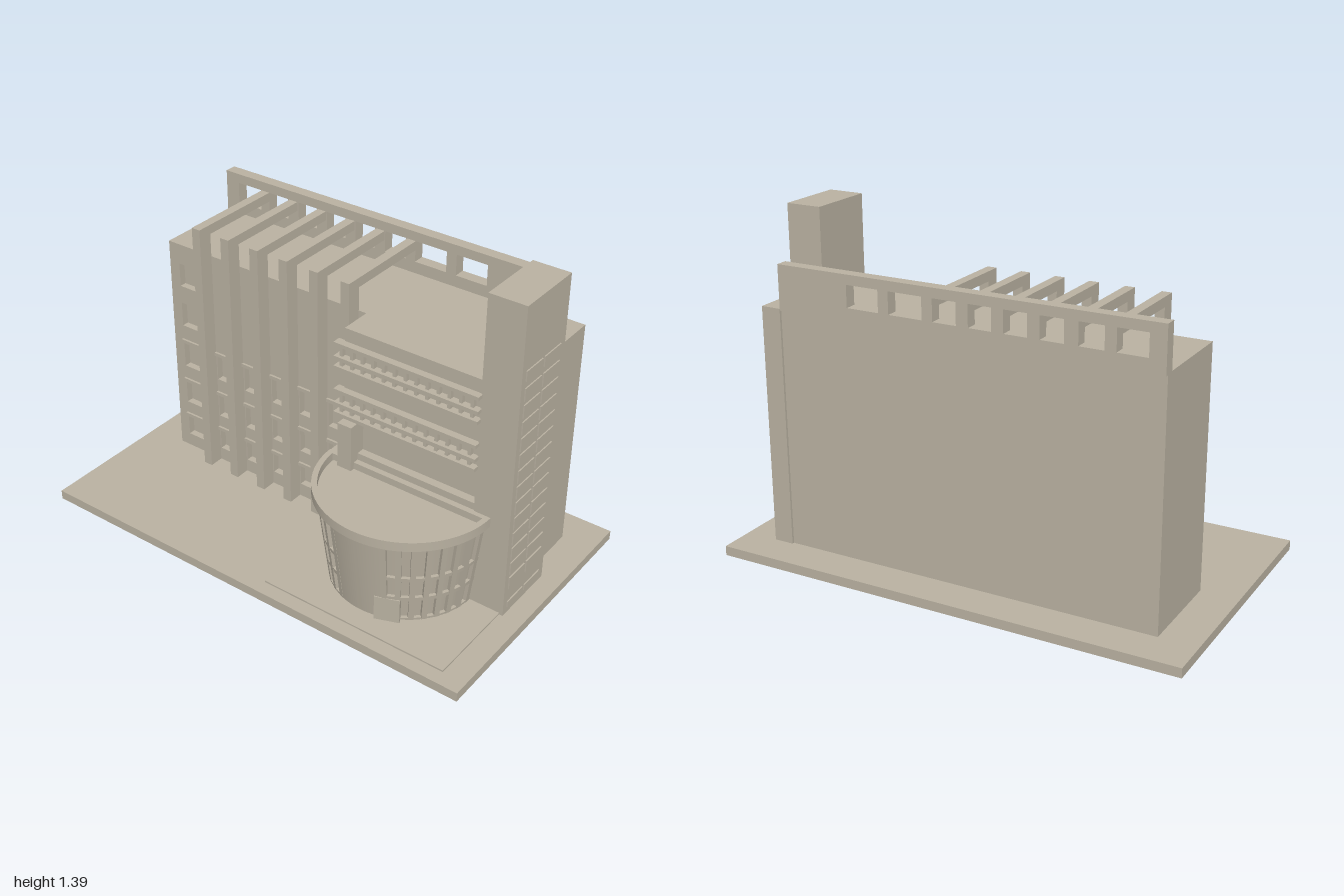
import * as THREE from 'three';
import { toCreasedNormals } from 'three/addons/utils/BufferGeometryUtils.js';

export function createModel() {
  const model = new THREE.Group();
  model.name = 'building';
  const concrete = new THREE.MeshStandardMaterial({ color: 0xb9b1a1, side: THREE.DoubleSide });
  concrete.name = 'concrete';

  const add = (name, geo, parent = model) => {
    const mesh = new THREE.Mesh(geo, concrete);
    mesh.name = name;
    parent.add(mesh);
    return mesh;
  };
  // Box given by its limits on each axis
  const box = (name, x0, x1, y0, y1, z0, z1, parent = model) => {
    const mesh = add(name, new THREE.BoxGeometry(x1 - x0, y1 - y0, z1 - z0), parent);
    mesh.position.set((x0 + x1) / 2, (y0 + y1) / 2, (z0 + z1) / 2);
    return mesh;
  };
  const rect = (path, x0, x1, y0, y1) =>
    path.moveTo(x0, y0).lineTo(x1, y0).lineTo(x1, y1).lineTo(x0, y1).closePath();
  // Upright slab pierced by rectangular openings [x0, x1, y0, y1]
  const piercedWall = (name, x0, x1, y0, y1, z0, z1, openings) => {
    const shape = rect(new THREE.Shape(), x0, x1, y0, y1);
    openings.forEach((o) => shape.holes.push(rect(new THREE.Path(), ...o)));
    const mesh = add(name, new THREE.ExtrudeGeometry(shape, { depth: z1 - z0, bevelEnabled: false }));
    mesh.position.z = z0;
  };

  // Ground
  box('base', -1, 1, 0, 0.04, -0.58, 0.58);
  box('forecourt', 0.07, 0.9, 0.04, 0.047, 0.12, 0.52);

  // Main volumes
  box('mainBlock', -0.84, 0.77, 0.04, 1.04, -0.42, -0.04);
  box('rearStairBlock', 0.775, 0.86, 0.04, 1.04, -0.43, 0.12);
  box('stairJoint', 0.76, 0.78, 0.04, 1.04, -0.42, 0.1);
  box('tower', 0.76, 0.915, 0.04, 1.39, -0.165, 0.13);

  // Left facade with recessed windows and lintels
  const finX = [-0.63, -0.482, -0.335, -0.19, -0.043, 0.105];
  const bands = [[0.1, 0.215], [0.27, 0.395], [0.455, 0.59]];
  const bays = [[-0.79, -0.665]];
  for (let i = 0; i < 5; i++) bays.push([finX[i] + 0.025, finX[i + 1] - 0.025]);
  const windows = [[-0.79, -0.665, 0.845, 0.95], [-0.79, -0.665, 0.655, 0.765]];
  for (const [y0, y1] of bands) for (const [x0, x1] of bays) windows.push([x0, x1, y0, y1 - 0.015]);
  piercedWall('leftFacade', -0.84, 0.16, 0.04, 1.04, -0.04, -0.01, windows);
  for (const [, y1] of bands) box('lintel', -0.795, 0.13, y1 - 0.015, y1, -0.03, 0);

  // Fins: front columns carrying roof beams back to the screen wall
  for (const x of finX) {
    box('finColumn', x - 0.02, x + 0.02, 0.04, 1.18, -0.01, 0.053);
    box('finBeam', x - 0.02, x + 0.02, 1.14, 1.18, -0.385, -0.01);
  }

  // Pierced screen wall along the back of the roof
  const gaps = [[-0.775, -0.655], [-0.61, -0.51], [-0.455, -0.36], [-0.31, -0.215],
    [-0.165, -0.07], [-0.02, 0.08], [0.125, 0.27], [0.315, 0.455]];
  piercedWall('roofScreen', -0.84, 0.77, 1.035, 1.22, -0.435, -0.385,
    gaps.map(([a, b]) => [a, b, 1.09, 1.18]));

  // Right wing with a recessed window band
  box('rightWing', 0.16, 0.77, 0.04, 1.04, -0.04, 0.09);
  piercedWall('rightFacade', 0.16, 0.77, 0.04, 1.04, 0.09, 0.125, [[0.225, 0.757, 0.5, 0.635]]);
  box('wingReturn', 0.13, 0.16, 0.04, 0.6, -0.01, 0.12);
  box('entrancePier', 0.16, 0.225, 0.4, 0.64, 0.12, 0.17);

  // Two balcony grilles: three rails and short posts
  for (const y of [0.66, 0.866]) {
    const grille = new THREE.Group();
    grille.name = 'balconyGrille';
    model.add(grille);
    for (const dy of [0, 0.043, 0.103]) box('rail', 0.13, 0.765, y + dy, y + dy + 0.015, 0.12, 0.156, grille);
    for (let i = 0; i < 13; i++) {
      const x = 0.15 + i * 0.048;
      box('post', x, x + 0.013, y + 0.01, y + 0.11, 0.12, 0.143, grille);
    }
  }

  // Tower side windows
  for (let i = 0; i < 15; i++) {
    const y1 = 1.125 - i * 0.0703;
    const y0 = i === 14 ? 0.068 : i === 0 ? 1.083 : y1 - 0.055;
    const top = i === 14 ? 0.095 : y1;
    for (const [z0, z1] of [[-0.005, 0.105], [-0.132, -0.018]]) box('towerWindow', 0.914, 0.92, y0, top, z0, z1);
  }

  // Half-round tapered hall; angle 0 faces the front
  const hall = new THREE.Group();
  hall.name = 'roundHall';
  hall.position.set(0.465, 0, 0.13);
  model.add(hall);
  const radius = (y) => 0.3 + (y - 0.04) * 0.128;
  const lathe = (name, pts, start = -Math.PI / 2, length = Math.PI) => {
    const geo = new THREE.LatheGeometry(pts.map(([r, y]) => new THREE.Vector2(r, y)), 40, start, length);
    return add(name, toCreasedNormals(geo, 0.5), hall);
  };
  const ring = (name, y0, y1, inset, start, length) => lathe(name, [
    [radius(y0) - inset, y0], [radius(y0), y0], [radius(y1), y1],
    [radius(y1) - inset, y1], [radius(y0) - inset, y0]], start, length);

  lathe('hallCore', [[radius(0.04) - 0.014, 0.04], [radius(0.44) - 0.014, 0.44], [0, 0.44]]);
  for (const [y0, y1] of [[0.04, 0.057], [0.15, 0.168], [0.253, 0.27], [0.415, 0.435]]) ring('hallBand', y0, y1, 0.02);
  ring('hallFrontPanel', 0.04, 0.43, 0.02, -0.33, 0.66);
  lathe('hallRim', [[0.345, 0.43], [0.368, 0.43], [0.368, 0.47], [0.345, 0.47], [0.345, 0.43]]);

  // Sloping mullions on both sides of the front panel
  for (const side of [-1, 1]) {
    for (let i = 0; i < 8; i++) {
      const arm = new THREE.Group();
      arm.name = 'mullionArm';
      arm.rotation.y = side * (0.34 + i * 0.168);
      hall.add(arm);
      const rib = add('mullion', new THREE.BoxGeometry(0.022, 0.385, 0.02), arm);
      rib.position.set(0, 0.237, radius(0.237) - 0.009);
      rib.rotation.x = Math.atan(0.128);
    }
  }

  // Back wall, parapet and door of the hall
  const back = new THREE.Shape();
  back.moveTo(-0.29, 0.04).lineTo(0.29, 0.04).lineTo(0.345, 0.45).lineTo(-0.345, 0.45).closePath();
  add('hallBackWall', new THREE.ExtrudeGeometry(back, { depth: 0.02, bevelEnabled: false }), hall).position.z = -0.02;
  box('hallParapet', 0.115, 0.815, 0.43, 0.47, 0.11, 0.15);
  box('rimReturn', 0.1, 0.135, 0.43, 0.47, 0.09, 0.135);
  const door = box('door', 0.53, 0.63, 0.047, 0.155, 0.41, 0.425);
  door.rotation.y = 0.36;

  return model;
}
